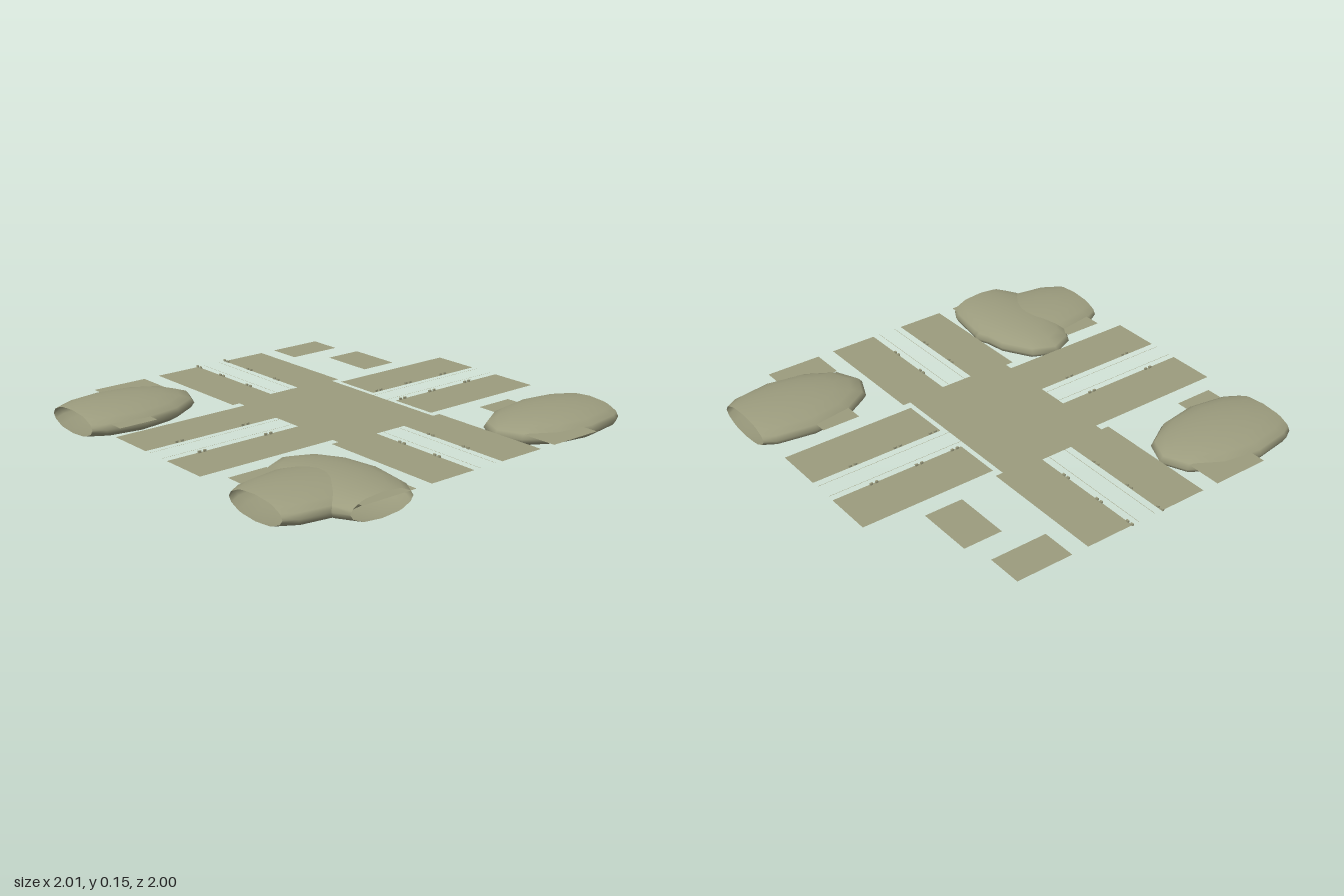
import * as THREE from 'three';

const GROUND = 0.105;
const mat = new THREE.MeshStandardMaterial({ color: 0x9c9c7e, side: THREE.DoubleSide });

// flat ground rectangle given by its x and z limits
function slab(name, x0, x1, z0, z1, y = GROUND) {
  const g = new THREE.PlaneGeometry(x1 - x0, z1 - z0).rotateX(-Math.PI / 2);
  const m = new THREE.Mesh(g, mat);
  m.position.set((x0 + x1) / 2, y, (z0 + z1) / 2);
  m.name = name;
  return m;
}

// ellipsoid left open where it passes the tile edge: keeps points with sign * axis <= 1
function hill(name, cx, cz, rx, rz, axis, sign) {
  const cy = 0.082, ry = 0.0755;
  const g = new THREE.SphereGeometry(1, 12, 10).toNonIndexed();
  const p = g.attributes.position, pos = [], nor = [];
  const dist = (v) => 1 - sign * v[axis];
  for (let i = 0; i < p.count; i += 3) {
    const tri = [0, 1, 2].map((k) => new THREE.Vector3().fromBufferAttribute(p, i + k)
      .multiply(new THREE.Vector3(rx, ry, rz)).add(new THREE.Vector3(cx, cy, cz)));
    const poly = [];
    tri.forEach((a, k) => {
      const b = tri[(k + 1) % 3], da = dist(a), db = dist(b);
      if (da >= 0) poly.push(a);
      if (da * db < 0) poly.push(a.clone().lerp(b, da / (da - db)));
    });
    for (let k = 1; k + 1 < poly.length; k++) {
      for (const v of [poly[0], poly[k], poly[k + 1]]) {
        const n = new THREE.Vector3((v.x - cx) / rx ** 2, (v.y - cy) / ry ** 2, (v.z - cz) / rz ** 2).normalize();
        pos.push(v.x, v.y, v.z);
        nor.push(n.x, n.y, n.z);
      }
    }
  }
  const out = new THREE.BufferGeometry();
  out.setAttribute('position', new THREE.Float32BufferAttribute(pos, 3));
  out.setAttribute('normal', new THREE.Float32BufferAttribute(nor, 3));
  const m = new THREE.Mesh(out, mat);
  m.name = name;
  return m;
}

// pair of low kerb posts, standing along the street
function posts(x, z, alongX) {
  const grp = new THREE.Group();
  grp.name = 'kerbPosts';
  for (const s of [-1, 1]) {
    const m = new THREE.Mesh(new THREE.BoxGeometry(0.014, 0.01, 0.008), mat);
    m.name = 'kerbPost';
    m.position.set(s * 0.014, 0.005, 0);
    grp.add(m);
  }
  if (!alongX) grp.rotation.y = Math.PI / 2;
  grp.position.set(x, GROUND, z);
  return grp;
}

export function createModel() {
  const model = new THREE.Group();
  model.name = 'crossroadsTile';

  // crossing plaza and the pavements beside the four streets
  model.add(slab('plaza', -0.39, 0.385, -0.29, 0.285));
  for (const [x0, x1] of [[-1, -0.365], [0.365, 1]]) {
    model.add(slab('sidePavement', x0, x1, -0.33, -0.087, GROUND + 0.0005));
    model.add(slab('sidePavement', x0, x1, 0.08, 0.325, GROUND + 0.0005));
  }
  for (const [x0, x1] of [[-0.325, -0.083], [0.08, 0.325]]) {
    model.add(slab('backPavement', x0, x1, -1, -0.315));
    model.add(slab('frontPavement', x0, x1, 0.285, 1));
  }

  // small plots in the four corners
  for (const [x0, x1, x2, x3] of [[-1, -0.825, -0.7, -0.415], [0.825, 1, 0.41, 0.7]]) {
    model.add(slab('backOuterPlot', x0, x1, -0.7, -0.415));
    model.add(slab('backInnerPlot', x2, x3, -0.745, -0.55));
    model.add(slab('frontOuterPlot', x0, x1, 0.41, 0.7));
    model.add(slab('frontInnerPlot', x2, x3, 0.72, 0.92));
  }

  // thin lane lines
  for (const c of [-0.05, 0.043]) {
    model.add(slab('laneLine', c - 0.001, c + 0.001, -1, 1, GROUND + 0.001));
    model.add(slab('laneLine', -1, 1, c - 0.001, c + 0.001, GROUND + 0.001));
  }
  // crossing stripes
  for (let i = 0; i < 7; i++) {
    const z = -0.04 + i * 0.013;
    model.add(slab('crossingStripe', -0.082, -0.06, z - 0.002, z + 0.002, GROUND + 0.001));
  }

  // kerb posts along both sides of each street
  for (const s of [-0.088, 0.085]) {
    for (const x of [-0.985, -0.785, -0.56, 0.56, 0.78]) model.add(posts(x, s, true));
    for (const z of [-0.79, -0.55, -0.355, 0.46, 0.82]) model.add(posts(s, z, false));
  }

  // hills running off the tile edges
  model.add(hill('backLeftHill', 0.7, -0.75, 0.24, 0.4, 'z', -1));
  model.add(hill('frontRightHill', -0.7, 0.745, 0.24, 0.4, 'z', 1));
  model.add(hill('frontLeftHill', 0.7, 0.745, 0.24, 0.4, 'z', 1));
  model.add(hill('frontLeftSideHill', 0.74, 0.595, 0.4, 0.235, 'x', 1));
  return model;
}
